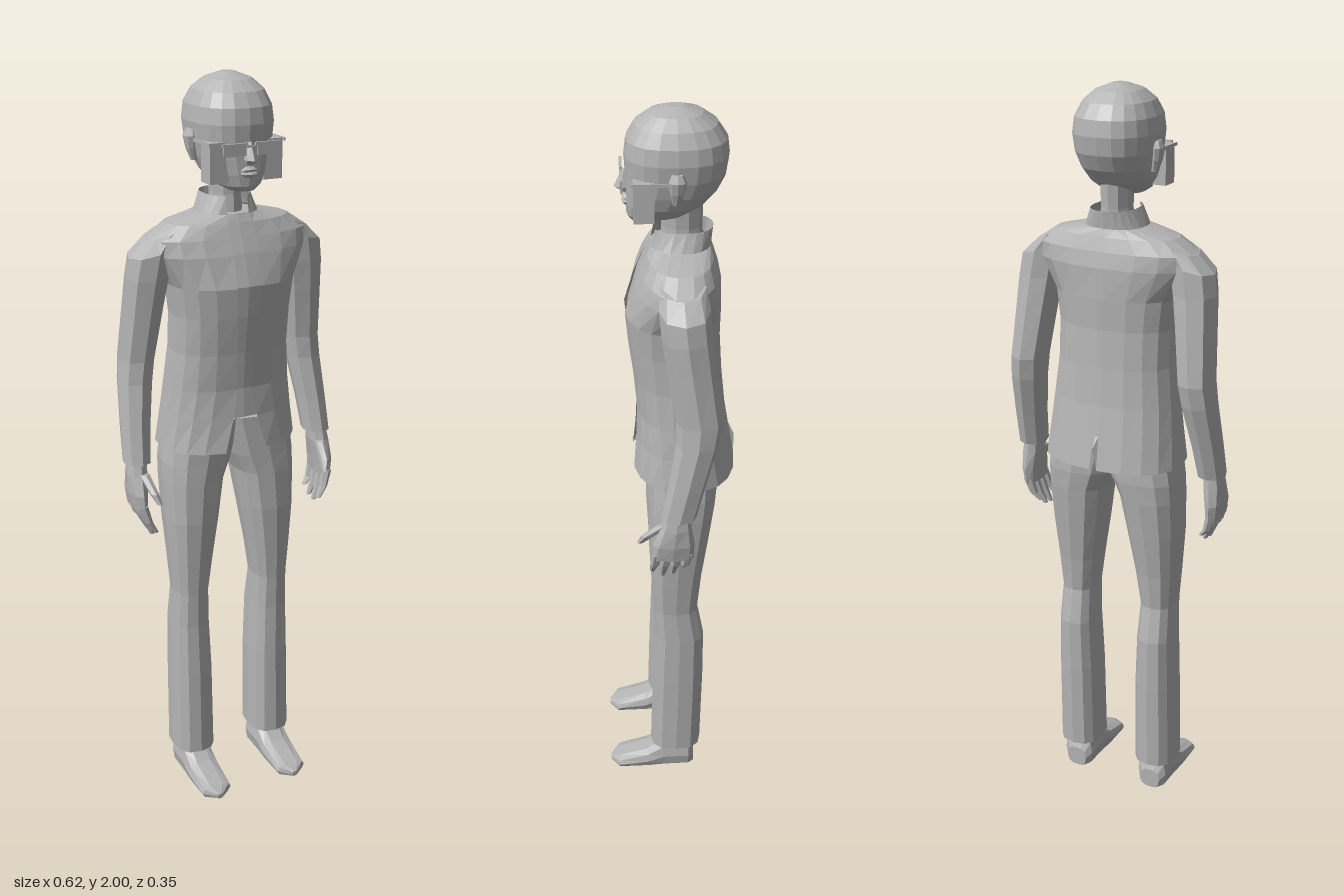
import * as THREE from 'three';

const grey = new THREE.MeshStandardMaterial({ color: 0xb4b4b4, flatShading: true, side: THREE.DoubleSide });
grey.name = 'plain grey';

// Skin a list of point rings, s = -1 mirrors the part across x
function loft(name, rings, { s = 1, closed = true, caps = true } = {}) {
  const pos = [];
  const tri = (a, b, c) => {
    for (const p of s < 0 ? [a, c, b] : [a, b, c]) pos.push(p[0] * s, p[1], p[2]);
  };
  const n = rings[0].length, m = closed ? n : n - 1;
  for (let i = 0; i < rings.length - 1; i++) {
    for (let j = 0; j < m; j++) {
      const k = (j + 1) % n, a = rings[i], b = rings[i + 1];
      tri(a[j], a[k], b[k]);
      tri(a[j], b[k], b[j]);
    }
  }
  if (caps) {
    [rings[0], rings[rings.length - 1]].forEach((r, end) => {
      const c = [0, 1, 2].map(q => r.reduce((t, p) => t + p[q], 0) / n);
      for (let j = 0; j < n; j++) {
        const k = (j + 1) % n;
        end ? tri(c, r[j], r[k]) : tri(c, r[k], r[j]);
      }
    });
  }
  const g = new THREE.BufferGeometry();
  g.setAttribute('position', new THREE.Float32BufferAttribute(pos, 3));
  g.computeVertexNormals();
  const mesh = new THREE.Mesh(g, grey);
  mesh.name = name;
  return mesh;
}

const pw = (v, e) => Math.sign(v) * Math.abs(v) ** e;
const turn = n => Array.from({ length: n }, (_, i) => (i / n) * Math.PI * 2);

// Horizontal rounded ring; slope tips it down towards the outside
function ring(y, x0, x1, zf, zb, angles, p = 2.3, slope = 0) {
  const rx = (x1 - x0) / 2, cx = (x0 + x1) / 2, rz = (zf - zb) / 2, cz = (zf + zb) / 2;
  return angles.map(t => {
    const dx = rx * pw(Math.sin(t), 2 / p);
    return [cx + dx, y - dx * slope, cz + rz * pw(Math.cos(t), 2 / p)];
  });
}

function box(name, w, h, d, x, y, z) {
  const m = new THREE.Mesh(new THREE.BoxGeometry(w, h, d), grey);
  m.name = name;
  m.position.set(x, y, z);
  return m;
}

// Jacket rows: y, half width, front z, back z, half width of the front opening
const coat = [
  [1.03, 0.193, 0.095, -0.178, 0.06],
  [1.12, 0.182, 0.085, -0.163, 0.035],
  [1.2, 0.173, 0.081, -0.15, 0.02],
  [1.3, 0.162, 0.09, -0.14, 0.025],
  [1.4, 0.162, 0.103, -0.134, 0.03],
  [1.48, 0.172, 0.11, -0.136, 0.035],
  [1.56, 0.215, 0.085, -0.134, 0.035],
  [1.6, 0.222, 0.068, -0.126, 0.035],
  [1.635, 0.17, 0.053, -0.115, 0.035],
  [1.655, 0.08, 0.043, -0.108, 0.03],
  [1.7, 0.06, 0.038, -0.113, 0.03],
];

function buildJacket() {
  const g = new THREE.Group();
  g.name = 'jacket';
  const rows = coat.map(([y, rx, zf, zb, gap], row) => {
    const t0 = Math.asin(Math.min(1, (gap / rx) ** 1.2));
    const half = Array.from({ length: 10 }, (_, i) => t0 + (i / 9) * (Math.PI - 0.03 - t0));
    const angles = [...half, Math.PI, ...half.map(t => 2 * Math.PI - t).reverse()];
    const r = ring(y, -rx, rx, zf, zb, angles, 2.4);
    if (row === 0) r[10][1] += 0.06; // back vent
    return r;
  });
  g.add(loft('jacketBody', rows, { closed: false, caps: false }));
  g.add(loft('shirt', coat.slice(1, 10).map(([y, rx, zf, zb]) =>
    ring(y, -rx * 0.9, rx * 0.9, zf - 0.007, zb + 0.015, turn(20), 2.4))));
  return g;
}

// Sleeves, hands, trousers and shoes for one side
function buildSide(s) {
  const g = new THREE.Group();
  g.name = s > 0 ? 'leftLimbs' : 'rightLimbs';
  const oct = turn(8);
  const stack = (name, rows, angles, p) =>
    g.add(loft(name, rows.map(r => ring(r[0], r[1], r[2], r[3], r[4], angles, p, r[5] || 0)), { s }));

  stack('sleeve', [
    [1.01, 0.235, 0.308, 0.028, -0.062],
    [1.1, 0.225, 0.305, 0.01, -0.085],
    [1.22, 0.206, 0.298, -0.01, -0.118],
    [1.28, 0.198, 0.292, -0.01, -0.128],
    [1.42, 0.178, 0.284, 0.012, -0.11],
    [1.5, 0.165, 0.28, 0.024, -0.1],
    [1.57, 0.15, 0.272, 0.03, -0.095, 0.25],
    [1.615, 0.13, 0.225, 0.025, -0.085, 0.35],
  ], oct, 2.2);

  stack('palm', [
    [0.885, 0.262, 0.295, 0.052, -0.055],
    [0.93, 0.258, 0.302, 0.05, -0.058],
    [0.98, 0.25, 0.302, 0.03, -0.05],
    [1.03, 0.25, 0.295, 0.015, -0.045],
  ], oct, 2.5);
  for (let i = 0; i < 4; i++) {
    const z = 0.04 - i * 0.027, tip = [0.825, 0.81, 0.815, 0.835][i], lean = 0.012;
    stack('finger', [
      [tip, 0.242, 0.256, z + 0.006 + lean, z - 0.008 + lean],
      [0.855, 0.256, 0.278, z + 0.012 + lean / 2, z - 0.012 + lean / 2],
      [0.9, 0.266, 0.294, z + 0.013, z - 0.013],
    ], turn(6), 2);
  }
  stack('thumb', [
    [0.918, 0.242, 0.257, 0.091, 0.075],
    [0.945, 0.246, 0.27, 0.08, 0.045],
    [0.985, 0.252, 0.282, 0.035, 0.0],
  ], turn(6), 2);

  stack('trouserLeg', [
    [0.095, 0.064, 0.18, 0.055, -0.09],
    [0.35, 0.066, 0.177, 0.048, -0.096],
    [0.5, 0.072, 0.174, 0.042, -0.096],
    [0.6, 0.076, 0.17, 0.044, -0.078],
    [0.7, 0.062, 0.178, 0.05, -0.088],
    [0.82, 0.042, 0.187, 0.056, -0.106],
    [0.93, 0.024, 0.19, 0.054, -0.122],
    [0.985, 0, 0.19, 0.052, -0.128],
    [1.1, -0.03, 0.175, 0.05, -0.13],
  ], turn(12), 2.6);

  // Shoe, skinned from heel to toe: z, half width, top, bottom
  const shoe = [
    [-0.07, 0.03, 0.065, 0.006],
    [-0.055, 0.044, 0.1, 0],
    [0.02, 0.046, 0.1, 0],
    [0.065, 0.048, 0.065, 0.004],
    [0.15, 0.044, 0.038, 0.004],
    [0.175, 0.008, 0.024, 0.008],
  ].map(([z, h, top, low]) => turn(10).map(t => [
    0.121 + h * pw(Math.cos(t), 0.7),
    (top + low) / 2 + ((top - low) / 2) * pw(Math.sin(t), 0.7), z]));
  g.add(loft('shoe', shoe, { s }));
  return g;
}

function buildHead() {
  const g = new THREE.Group();
  g.name = 'head';
  const stack = (name, rows, n, p, s = 1) =>
    g.add(loft(name, rows.map(r => ring(...r, turn(n), p)), { s }));
  stack('skull', [
    [1.722, -0.032, 0.032, 0.092, 0.01],
    [1.735, -0.055, 0.055, 0.1, -0.045],
    [1.765, -0.078, 0.078, 0.102, -0.092],
    [1.8, -0.092, 0.092, 0.102, -0.122],
    [1.84, -0.102, 0.102, 0.102, -0.142],
    [1.885, -0.107, 0.107, 0.105, -0.149],
    [1.925, -0.102, 0.102, 0.1, -0.144],
    [1.96, -0.085, 0.085, 0.079, -0.12],
    [1.985, -0.057, 0.057, 0.045, -0.085],
    [2.0, -0.018, 0.018, 0, -0.04],
  ], 20, 2.35);
  stack('neck', [
    [1.62, -0.046, 0.046, 0.02, -0.092],
    [1.7, -0.04, 0.04, 0.015, -0.086],
    [1.77, -0.042, 0.042, 0.02, -0.088],
  ], 10, 2);
  stack('nose', [
    [1.79, -0.012, 0.012, 0.112, 0.085],
    [1.802, -0.017, 0.017, 0.129, 0.085],
    [1.845, -0.007, 0.007, 0.109, 0.085],
  ], 6, 2);
  stack('lips', [
    [1.757, -0.012, 0.012, 0.106, 0.085],
    [1.766, -0.024, 0.024, 0.113, 0.08],
    [1.772, -0.026, 0.026, 0.107, 0.08],
    [1.778, -0.022, 0.022, 0.114, 0.08],
    [1.785, -0.012, 0.012, 0.106, 0.085],
  ], 8, 2);
  for (const s of [1, -1]) {
    stack('ear', [
      [1.79, 0.085, 0.104, -0.008, -0.025],
      [1.82, 0.09, 0.115, -0.002, -0.036],
      [1.85, 0.09, 0.121, 0.002, -0.042],
      [1.868, 0.092, 0.114, -0.006, -0.034],
    ], 8, 2.2, s);
    // Spectacles and the panels beside the cheeks
    g.add(box('lens', 0.06, 0.026, 0.005, s * 0.046, 1.827, 0.112));
    g.add(box('lensRim', 0.07, 0.006, 0.007, s * 0.045, 1.842, 0.112));
    g.add(box('templeArm', 0.004, 0.008, 0.12, s * 0.103, 1.842, 0.03));
    g.add(box('cheekPanel', 0.052, 0.1, 0.05, s * 0.074, 1.795, 0.06));
  }
  g.add(box('spectacleBridge', 0.03, 0.005, 0.005, 0, 1.836, 0.113));
  return g;
}

export function createModel() {
  const model = new THREE.Group();
  model.name = 'standingFigure';
  model.add(buildJacket(), buildHead(), buildSide(1), buildSide(-1));
  return model;
}
